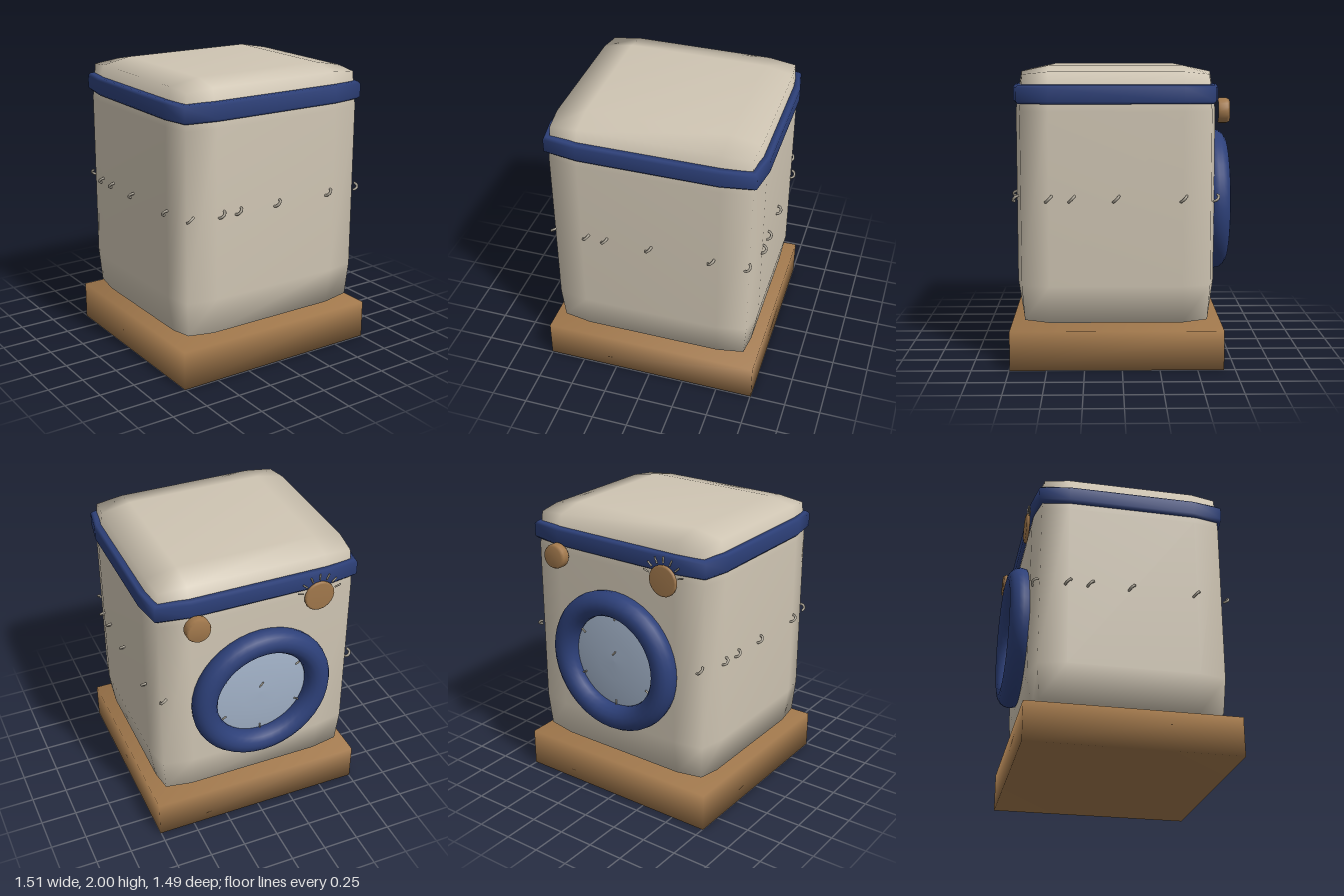
import * as THREE from 'three';
import { mergeVertices } from 'three/addons/utils/BufferGeometryUtils.js';

const material = (name, color) => new THREE.MeshStandardMaterial({ name, color });

// Box with shared corners, so that shading runs smoothly over the edges
function softBox(w, h, d, seg = 1, move = null) {
  let g = new THREE.BoxGeometry(w, h, d, seg, seg, seg);
  g.deleteAttribute('uv');
  g.deleteAttribute('normal');
  g = mergeVertices(g);
  if (move) {
    const p = g.attributes.position;
    for (let i = 0; i < p.count; i++) {
      p.setXYZ(i, ...move([p.getX(i), p.getY(i), p.getZ(i)]));
    }
  }
  g.computeVertexNormals();
  return g;
}

// Closed band: a rectangular section with bevels swept round a chamfered rectangle
function bandGeometry(hx, hz, section) {
  const pos = [], idx = [];
  const plan = [];
  for (const [sx, sz, flip] of [[1, 1, 0], [1, -1, 1], [-1, -1, 0], [-1, 1, 1]]) {
    const pts = [[0.47, hz, 0, 1], [hx - 0.035, hz - 0.035, 1, 1], [hx, 0.44, 1, 0]];
    if (flip) pts.reverse();
    for (const [x, z, ox, oz] of pts) plan.push([sx * x, sz * z, sx * ox, sz * oz]);
  }
  const n = plan.length, m = section.length;
  for (const [x, z, ox, oz] of plan) {
    for (const [inset, y] of section) pos.push(x - ox * inset, y, z - oz * inset);
  }
  for (let i = 0; i < n; i++) {
    for (let j = 0; j < m; j++) {
      const a = i * m + j, b = i * m + (j + 1) % m;
      const c = ((i + 1) % n) * m + j, d = ((i + 1) % n) * m + (j + 1) % m;
      idx.push(a, c, b, b, c, d);
    }
  }
  const g = new THREE.BufferGeometry();
  g.setAttribute('position', new THREE.Float32BufferAttribute(pos, 3));
  g.setIndex(idx);
  g.computeVertexNormals();
  return g;
}

export function createModel() {
  const cream = material('creamEnamel', 0xcfc5b3);
  const blue = material('blueTrim', 0x2d4079);
  const brown = material('brownWood', 0xa1784c);
  const glass = material('paleGlass', 0xa3b3c9);
  const metal = material('dullMetal', 0xaaa395);
  blue.side = THREE.DoubleSide;
  const model = new THREE.Group();
  const add = (name, geometry, mat, x = 0, y = 0, z = 0, parent = model) => {
    const mesh = new THREE.Mesh(geometry, mat);
    mesh.name = name;
    mesh.position.set(x, y, z);
    parent.add(mesh);
    return mesh;
  };

  // Plinth
  add('plinth', softBox(1.51, 0.265, 1.42), brown, 0, 0.1325, 0.035);

  // Cabinet: a 3 x 3 x 3 lattice with its edges and corners drawn in
  const half = [0.718, 0.867, 0.662], inner = [0.475, 0.575, 0.44];
  const cabinet = softBox(2, 2, 2, 3, (v) => {
    const outer = v.filter((c) => Math.abs(c) > 0.9).length;
    const pull = [0, 0, 0.039, 0.056][outer];
    return v.map((c, k) => Math.sign(c) * (Math.abs(c) > 0.9 ? half[k] - pull : inner[k]));
  });
  add('cabinet', cabinet, cream, 0, 1.133, 0.04);

  // Band below the lid
  const section = [[0.07, 1.752], [0.015, 1.755], [0, 1.772], [0, 1.86], [0.015, 1.877], [0.07, 1.88]];
  add('lidBand', bandGeometry(0.737, 0.68, section), blue, 0, 0, 0.04);

  // Door on the back face
  const door = new THREE.Group();
  door.name = 'door';
  door.position.set(-0.01, 1.04, -0.62);
  door.rotation.y = Math.PI;
  model.add(door);
  add('doorRing', new THREE.TorusGeometry(0.413, 0.086, 16, 40), blue, 0, 0, 0.04, door);
  const dome = [[0.36, 0.005], [0.27, 0.018], [0.14, 0.027], [0, 0.03]].map((p) => new THREE.Vector2(...p));
  add('doorGlass', new THREE.LatheGeometry(dome, 32), glass, 0, 0, 0.01, door).rotation.x = Math.PI / 2;
  const tick = new THREE.CapsuleGeometry(0.006, 0.035, 3, 6);
  for (let i = 0; i < 6; i++) {
    const a = Math.PI / 2 + i * Math.PI / 3;
    const t = add('glassClip', tick, metal, Math.cos(a) * 0.315, Math.sin(a) * 0.315, 0.03, door);
    t.rotation.z = a - Math.PI / 2;
  }
  add('glassCentreClip', tick, metal, 0, 0.06, 0.042, door).rotation.z = -0.7;

  // Knobs: round profiles turned to stand out of the back face
  const knob = (name, r, depth, x, y) => {
    const pts = [[r * 0.9, 0], [r, depth * 0.15], [r, depth * 0.75], [r * 0.88, depth], [0, depth]];
    const g = new THREE.LatheGeometry(pts.map((p) => new THREE.Vector2(...p)), 20);
    add(name, g, brown, x, y, -0.64).rotation.x = -Math.PI / 2;
  };
  knob('pushKnob', 0.084, 0.077, 0.45, 1.7);
  knob('dialKnob', 0.105, 0.022, -0.41, 1.705);

  // Dial marks
  for (let i = 0; i < 7; i++) {
    const a = Math.PI * (0.1 + 0.8 * i / 6);
    const t = add('dialMark', tick, metal, -0.41 + Math.cos(a) * 0.14, 1.705 + Math.sin(a) * 0.14, -0.648);
    t.rotation.z = a - Math.PI / 2;
  }

  // Staples round the middle: [x, z, turn about y]
  const staple = new THREE.TorusGeometry(0.027, 0.009, 6, 10, Math.PI);
  staple.rotateX(Math.PI / 2);
  staple.rotateZ(Math.PI / 4);
  const q = Math.PI / 2;
  const staples = [
    ...[-0.44, -0.31, 0, 0.43].map((x) => [x, 0.702, 0]),
    ...[0.48, 0.33, 0.04, -0.4].map((z) => [0.718, z, q]),
    ...[0.475, 0.03, -0.25, -0.4].map((z) => [-0.718, z, -q]),
    [0.668, 0.69, q / 2], [-0.668, 0.69, -q / 2],
    [0.668, -0.61, 1.5 * q], [-0.668, -0.61, -1.5 * q],
  ];
  for (const [x, z, turn] of staples) add('staple', staple, metal, x, 1.14, z).rotation.y = turn;

  return model;
}
